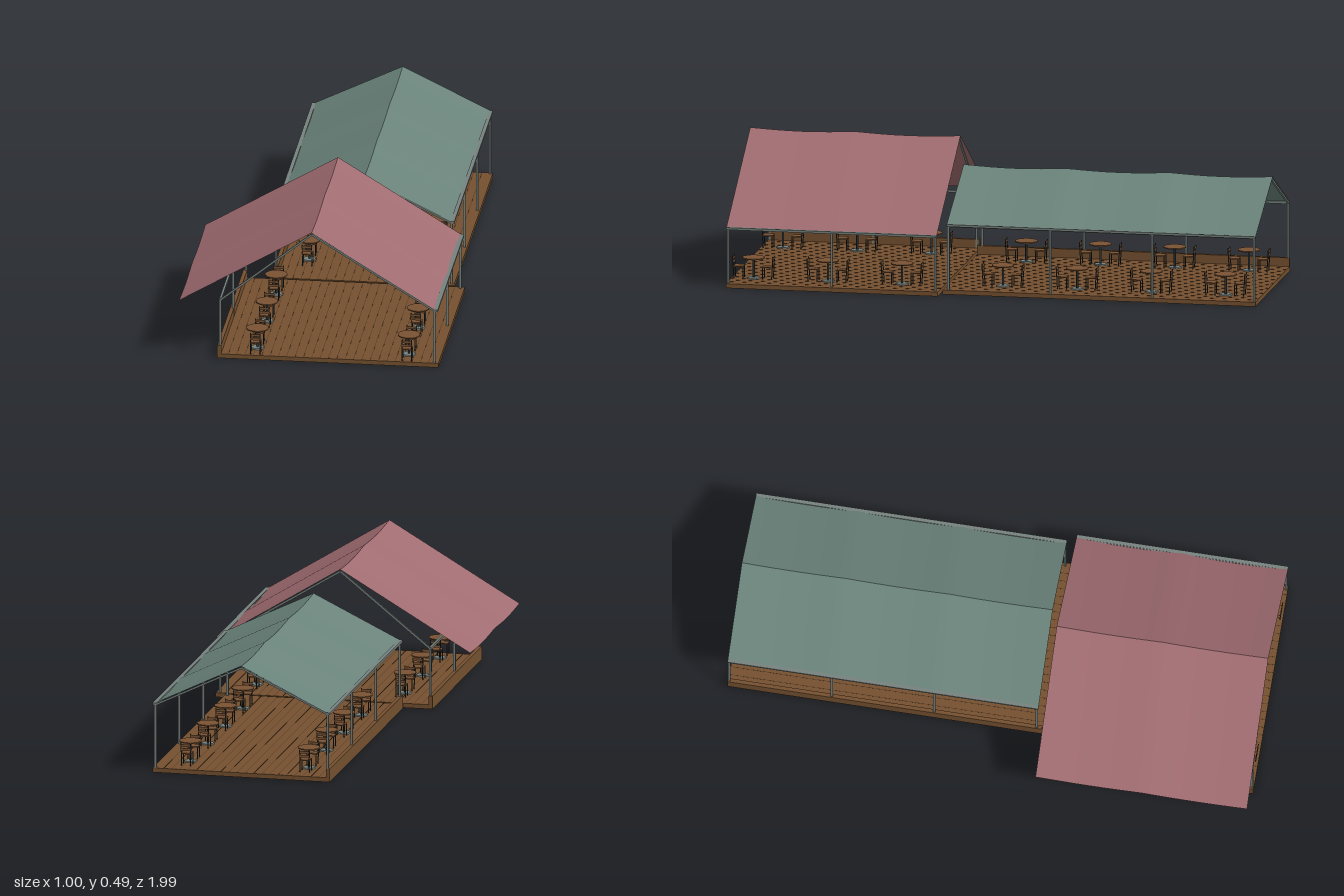
import * as THREE from 'three';

const mat = (name, color, extra = {}) => Object.assign(new THREE.MeshStandardMaterial({ color, ...extra }), { name });
const M = {
  rose: mat('rose canvas', 0xa06c71, { side: THREE.DoubleSide }),
  green: mat('sage canvas', 0x6a837a, { side: THREE.DoubleSide }),
  steel: mat('grey steel', 0x77827f),
  deck: mat('brown deck', 0x74502f),
  wood: mat('table wood', 0x7a5233),
  seam: mat('dark seam', 0x4a3220),
  iron: mat('dark iron', 0x2f3636),
};

function add(parent, geo, material, name, x = 0, y = 0, z = 0) {
  const mesh = new THREE.Mesh(geo, material);
  mesh.name = name;
  mesh.position.set(x, y, z);
  parent.add(mesh);
  return mesh;
}
const box = (p, m, name, w, h, d, x, y, z) => add(p, new THREE.BoxGeometry(w, h, d), m, name, x, y, z);

// Square bar between two points of one cross-frame
function bar(parent, name, x0, y0, x1, y1, z, t) {
  const len = Math.hypot(x1 - x0, y1 - y0);
  const b = box(parent, M.steel, name, len, t, t, (x0 + x1) / 2, (y0 + y1) / 2, z);
  b.rotation.z = Math.atan2(y1 - y0, x1 - x0);
}

// Canvas slope from ridge to eave, sagging a little between the frames
function canvas(parent, material, ridge, eave, z0, z1, bays) {
  const geo = new THREE.PlaneGeometry(1, 1, 1, bays * 8);
  const pos = geo.attributes.position;
  const left = eave[0] < ridge[0];
  for (let i = 0; i < pos.count; i++) {
    const a = pos.getX(i) + 0.5, t = 0.5 - pos.getY(i);
    const k = left ? 1 - a : a;
    const sag = 0.007 * Math.abs(Math.sin(Math.PI * bays * t));
    pos.setXYZ(i, ridge[0] + (eave[0] - ridge[0]) * k,
      ridge[1] + (eave[1] - ridge[1]) * k - sag, z0 + (z1 - z0) * t);
  }
  geo.computeVertexNormals();
  add(parent, geo, material, left ? 'roofLeftSlope' : 'roofRightSlope');
}

// Chair with its back towards +z
function chair() {
  const g = new THREE.Group();
  g.name = 'chair';
  box(g, M.wood, 'seat', 0.038, 0.004, 0.036, 0, 0.044, 0);
  for (const s of [-1, 1]) {
    box(g, M.iron, 'frontLeg', 0.003, 0.043, 0.003, s * 0.017, 0.0215, -0.016);
    const back = box(g, M.iron, 'backLeg', 0.003, 0.082, 0.003, s * 0.017, 0.041, 0.019);
    back.rotation.x = 0.06;
  }
  for (const y of [0.06, 0.074]) box(g, M.wood, 'backSlat', 0.036, 0.009, 0.003, 0, y, 0.0205);
  return g;
}

// Round table with two facing chairs
function diningSet() {
  const g = new THREE.Group();
  g.name = 'diningSet';
  add(g, new THREE.CylinderGeometry(0.04, 0.04, 0.004, 24), M.wood, 'tableTop', 0, 0.075, 0);
  add(g, new THREE.CylinderGeometry(0.004, 0.004, 0.072, 10), M.iron, 'tablePedestal', 0, 0.037, 0);
  add(g, new THREE.CylinderGeometry(0.022, 0.024, 0.004, 20), M.steel, 'tableBase', 0, 0.002, 0);
  for (const s of [1, -1]) {
    const c = chair();
    c.position.z = s * 0.052;
    if (s < 0) c.rotation.y = Math.PI;
    g.add(c);
  }
  return g;
}

const FLOOR = 0.016;

function pavilion(o) {
  const g = new THREE.Group();
  g.name = o.name;
  const { x0, x1, z0, z1, bays, ridge } = o;
  const w = x1 - x0, d = z1 - z0, cx = (x0 + x1) / 2, cz = (z0 + z1) / 2;

  // Deck, board seams and low side wall
  box(g, M.deck, 'deck', w, FLOOR, d, cx, FLOOR / 2, cz);
  for (let x = x0 + 0.04; x < x1 - 0.01; x += 0.03)
    box(g, M.seam, 'boardSeam', 0.0015, 0.001, d - 0.004, x, FLOOR, cz);
  box(g, M.deck, 'sideWall', 0.014, 0.032, d, x0 + 0.007, FLOOR + 0.016, cz);

  // Cross-frames: two posts and two rafters each
  const [lx, ly] = o.leftPost, [rx, ry] = o.rightPost;
  for (let i = 0; i <= bays; i++) {
    const z = o.r0 + 0.006 + (o.r1 - o.r0 - 0.012) * i / bays;
    box(g, M.steel, 'leftPost', 0.008, ly, 0.008, lx, ly / 2, z);
    box(g, M.steel, 'rightPost', 0.008, ry, 0.008, rx, ry / 2, z);
    bar(g, 'leftRafter', lx, ly, ridge[0], ridge[1] - 0.008, z, 0.007);
    bar(g, 'rightRafter', rx, ry, ridge[0], ridge[1] - 0.008, z, 0.007);
  }

  // Eave beams, gutters and canvas
  const rd = o.r1 - o.r0, rz = (o.r0 + o.r1) / 2;
  box(g, M.steel, 'leftEaveBeam', 0.008, 0.008, rd - 0.004, lx, ly, rz);
  box(g, M.steel, 'rightEaveBeam', 0.008, 0.008, rd - 0.004, rx, ry, rz);
  for (const [x, y] of o.gutters) box(g, M.steel, 'gutter', 0.014, 0.008, rd, x, y, rz);
  canvas(g, o.canvas, ridge, o.leftEave, o.r0, o.r1, bays);
  canvas(g, o.canvas, ridge, o.rightEave, o.r0, o.r1, bays);

  // Two rows of dining sets
  for (const x of o.rows) for (const z of o.sets) {
    const s = diningSet();
    s.position.set(x, FLOOR, z);
    g.add(s);
  }
  return g;
}

export function createModel() {
  const model = new THREE.Group();
  model.name = 'terracePavilions';
  const site = new THREE.Group();
  site.name = 'site';
  site.rotation.y = 0.09;
  model.add(site);

  site.add(pavilion({
    name: 'frontPavilion', canvas: M.rose, bays: 2,
    x0: -0.381, x1: 0.415, z0: 0.178, z1: 0.949, r0: 0.184, r1: 0.949,
    ridge: [-0.041, 0.493], leftEave: [-0.518, 0.213], rightEave: [0.405, 0.218],
    leftPost: [-0.37, 0.22], rightPost: [0.4, 0.215],
    gutters: [[0.406, 0.216]],
    rows: [-0.245, 0.3], sets: [0.87, 0.6, 0.33],
  }));
  site.add(pavilion({
    name: 'rearPavilion', canvas: M.green, bays: 3,
    x0: -0.276, x1: 0.374, z0: -0.969, z1: 0.168, r0: -0.969, r1: 0.155,
    ridge: [0.049, 0.408], leftEave: [-0.27, 0.253], rightEave: [0.368, 0.253],
    leftPost: [-0.268, 0.248], rightPost: [0.364, 0.248],
    gutters: [[-0.27, 0.251], [0.367, 0.251]],
    rows: [-0.17, 0.265], sets: [-0.03, -0.3, -0.57, -0.84],
  }));
  return model;
}
